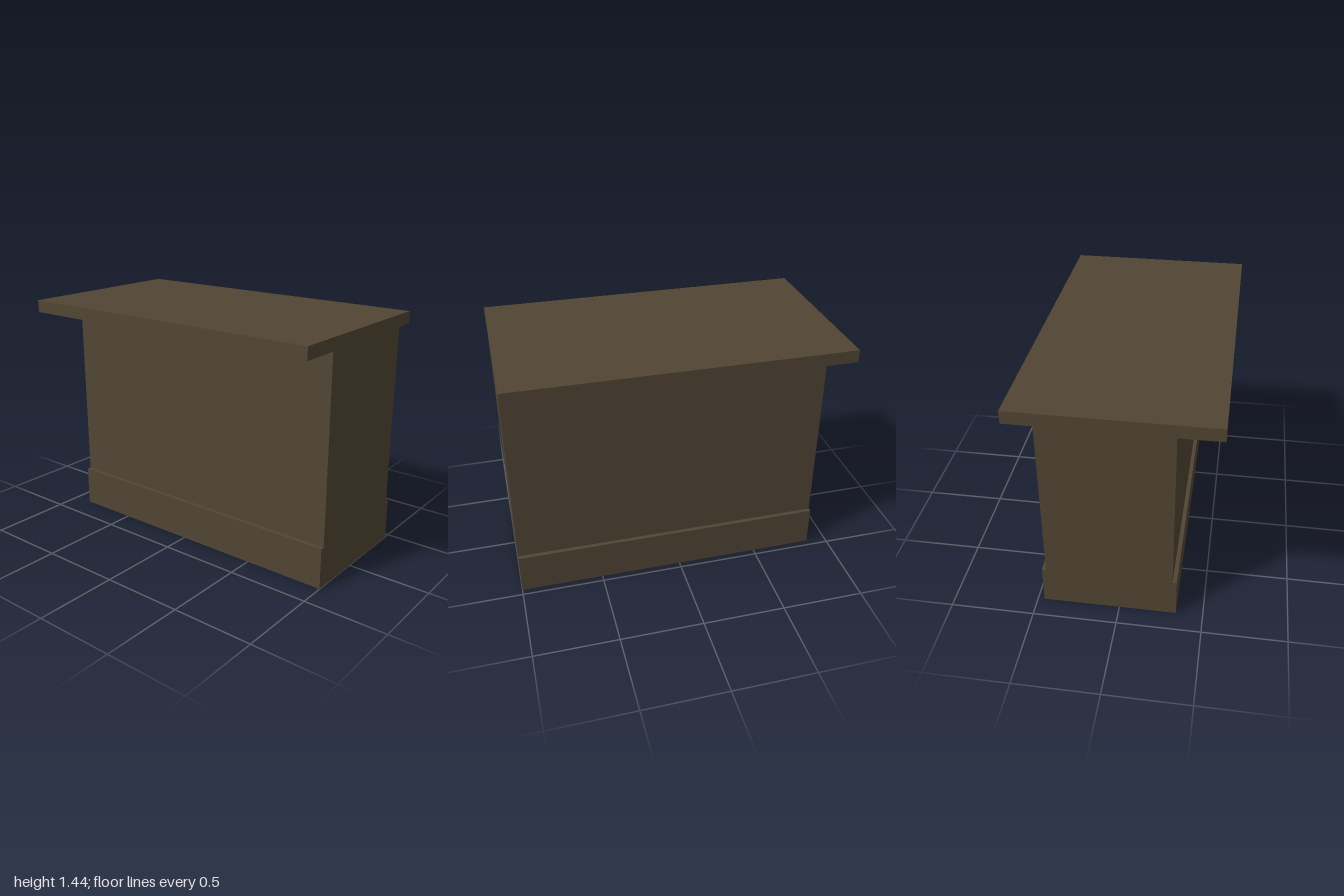
import * as THREE from 'three';

const wood = new THREE.MeshStandardMaterial({ color: 0x524634 });
wood.name = 'dark brown wood';

// Box given by its limits on each axis
function slab(name, [x0, x1], [y0, y1], [z0, z1]) {
  const mesh = new THREE.Mesh(new THREE.BoxGeometry(x1 - x0, y1 - y0, z1 - z0), wood);
  mesh.position.set((x0 + x1) / 2, (y0 + y1) / 2, (z0 + z1) / 2);
  mesh.name = name;
  return mesh;
}

export function createModel() {
  const counter = new THREE.Group();
  counter.name = 'counter';

  // Plinth and body share flush ends; the top overhangs front, back and one end
  const bodyX = [-0.875, 1];
  counter.add(
    slab('plinth', bodyX, [0, 0.25], [-0.46, 0.34]),
    slab('body', bodyX, [0.25, 1.365], [-0.435, 0.315]),
    slab('countertop', [-1, 1], [1.365, 1.44], [-0.5625, 0.5625]),
  );
  return counter;
}
